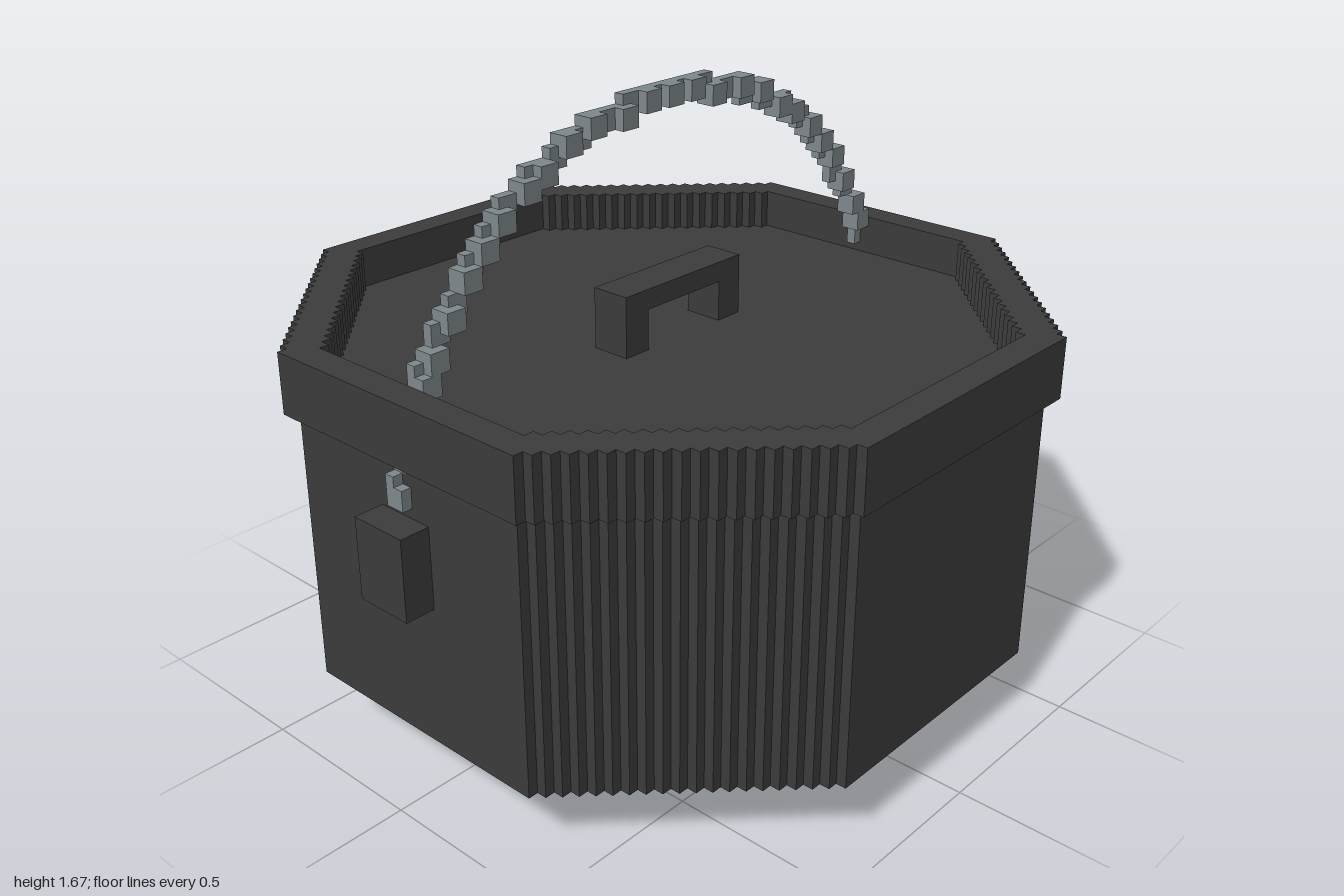
import * as THREE from 'three';

const V = 1 / 36; // size of one block; all dimensions below are in blocks

export function createModel() {
  const model = new THREE.Group();
  model.name = 'cauldron';

  const iron = new THREE.MeshStandardMaterial({ color: 0x3c3c3c });
  iron.name = 'dark iron';
  const steel = new THREE.MeshStandardMaterial({ color: 0x7f898c });
  steel.name = 'grey steel';

  const add = (parent, name, geometry, material) => {
    const mesh = new THREE.Mesh(geometry, material);
    mesh.name = name;
    parent.add(mesh);
    return mesh;
  };
  const group = (name) => {
    const g = new THREE.Group();
    g.name = name;
    model.add(g);
    return g;
  };

  // Box given by its minimum and maximum corner
  const box = (parent, name, x0, x1, y0, y1, z0, z1, material) => {
    const g = new THREE.BoxGeometry((x1 - x0) * V, (y1 - y0) * V, (z1 - z0) * V);
    g.translate((x0 + x1) / 2 * V, (y0 + y1) / 2 * V, (z0 + z1) / 2 * V);
    return add(parent, name, g, material);
  };

  // Octagon with half width hx, hz and corners cut by stairs of one block
  const steppedOctagon = (hx, hz, steps) => {
    const quarter = [];
    for (let i = 0; i <= steps; i++) {
      quarter.push([hx - i, hz - steps + i]);
      if (i < steps) quarter.push([hx - i - 1, hz - steps + i]);
    }
    const mirrored = [...quarter].reverse();
    return [
      ...quarter,
      ...mirrored.map(([x, y]) => [-x, y]),
      ...quarter.map(([x, y]) => [-x, -y]),
      ...mirrored.map(([x, y]) => [x, -y]),
    ].map(([x, y]) => new THREE.Vector2(x * V, y * V));
  };

  // Upright prism from a stepped octagon, with an optional hole
  const prism = (outline, y0, y1, hole) => {
    const shape = new THREE.Shape(outline);
    if (hole) shape.holes.push(new THREE.Path(hole));
    const g = new THREE.ExtrudeGeometry(shape, { depth: (y1 - y0) * V, bevelEnabled: false });
    g.rotateX(-Math.PI / 2);
    g.translate(0, y0 * V, 0);
    return g;
  };

  // Pot, rim and recessed lid
  const opening = () => steppedOctagon(31, 31, 18);
  add(model, 'pot', prism(steppedOctagon(33, 33, 19), 7, 34), iron);
  add(model, 'rim', prism(steppedOctagon(34, 34, 19), 34, 40, opening()), iron);
  add(model, 'lid', prism(opening(), 34, 36), iron);

  // Lid handle
  const lidHandle = group('lidHandle');
  box(lidHandle, 'handleBar', -8, 8, 40, 42, -2, 2, iron);
  for (const s of [-1, 1]) {
    const x = s * 6.5;
    box(lidHandle, 'handlePost', x - 1.5, x + 1.5, 36, 40, -2, 2, iron);
  }

  // Tripod legs
  for (const [x, z, hx] of [[0, 23, 3], [-19.5, -11, 3.5], [19.5, -11, 3.5]]) {
    const leg = add(model, 'leg', prism(steppedOctagon(hx, 3, 1), 0, 7), iron);
    leg.position.set(x * V, 0, z * V);
  }

  // Side lugs
  for (const s of [-1, 1]) {
    box(model, 'sideLug', s * 34.5 - 1.5, s * 34.5 + 1.5, 21, 29, -3, 3, iron);
  }

  // Arched carrying handle: cubes joined by half-depth links
  const bail = group('carryingHandle');
  const half = 16;
  for (let i = 2; i <= half * 2; i++) {
    const a = (i / (half * 2)) * (Math.PI / 2);
    const x = Math.round(33 * Math.cos(a) - 0.01);
    const y = Math.round(27.6 + 31.4 * Math.sin(a));
    const front = i % 2 === 0 ? 1 : 0;
    for (const s of i === half * 2 ? [1] : [-1, 1]) {
      box(bail, front ? 'handleCube' : 'handleLink',
        s * x - 1, s * x + 1, y - 1, y + 1, -1, front, steel);
    }
  }

  return model;
}
